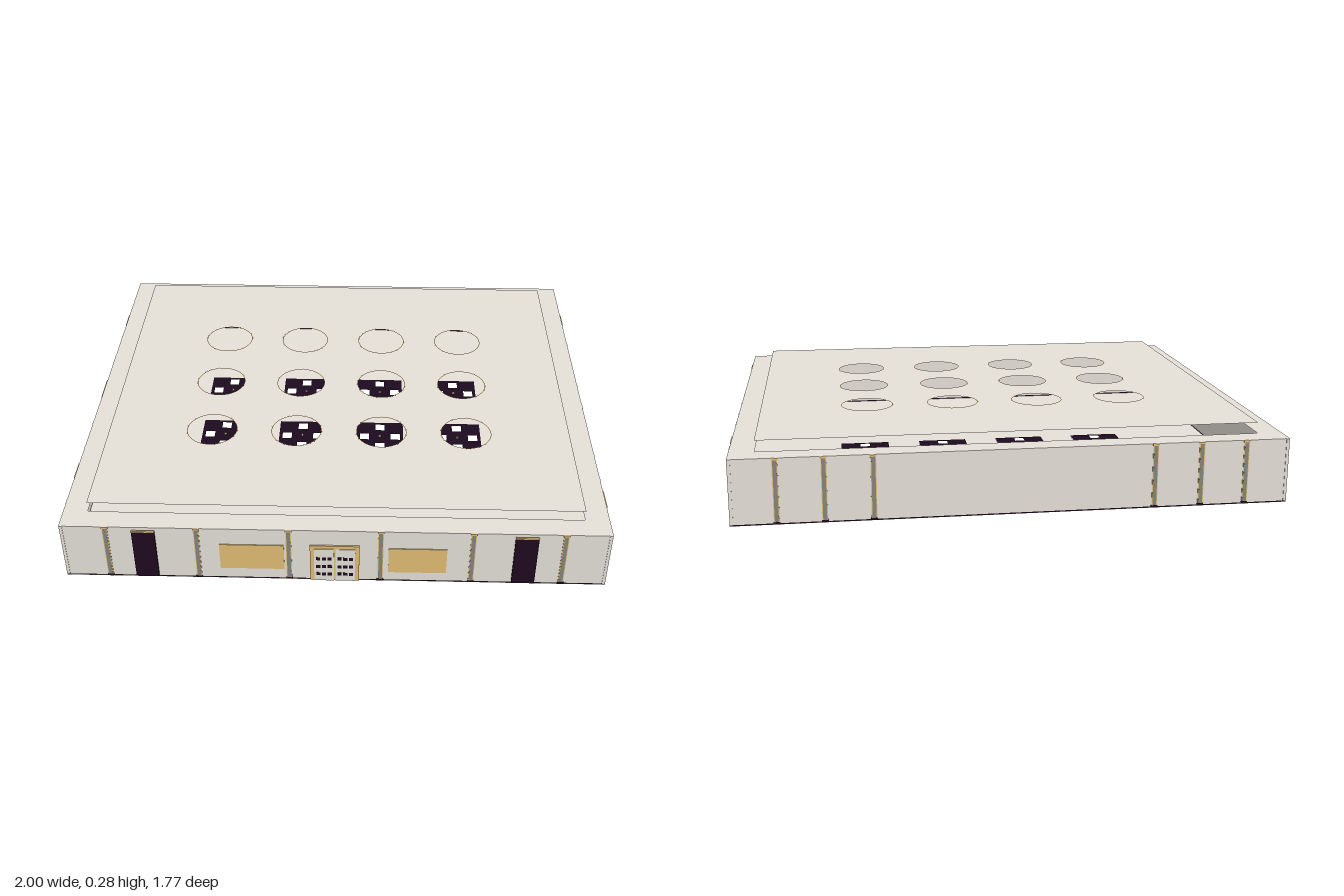
import * as THREE from 'three';

const mat = (name, color, side = THREE.FrontSide) => {
  const m = new THREE.MeshStandardMaterial({ color, side });
  m.name = name;
  return m;
};

export function createModel() {
  const model = new THREE.Group();
  model.name = 'exhibitionHall';
  const stone = mat('stone', 0xe5e1d8);
  const stoneSheet = mat('stoneSheet', 0xe5e1d8, THREE.DoubleSide);
  const dark = mat('darkPlum', 0x1d0a1f);
  const darkSheet = mat('darkPlumSheet', 0x1d0a1f, THREE.DoubleSide);
  const gold = mat('gold', 0xe2bc74);
  const goldSheet = mat('goldSheet', 0xe2bc74, THREE.DoubleSide);
  const grey = mat('columnGrey', 0x85847c);

  const add = (parent, name, geo, m, x = 0, y = 0, z = 0) => {
    const mesh = new THREE.Mesh(geo, m);
    mesh.name = name;
    mesh.position.set(x, y, z);
    parent.add(mesh);
    return mesh;
  };
  const box = (parent, name, w, h, d, m, x, y, z) =>
    add(parent, name, new THREE.BoxGeometry(w, h, d), m, x, y, z);

  // Flat sheets are drawn in x and -z, then laid down
  const outline = (Type, x0, x1, z0, z1) => {
    const s = new Type();
    s.moveTo(x0, -z1);
    s.lineTo(x1, -z1);
    s.lineTo(x1, -z0);
    s.lineTo(x0, -z0);
    s.closePath();
    return s;
  };
  const square = (Type, x, z, r) => outline(Type, x - r, x + r, z - r, z + r);
  const sheet = (parent, name, shape, m, y) =>
    add(parent, name, new THREE.ShapeGeometry(shape, 48).rotateX(-Math.PI / 2), m, 0, y, 0);

  const Z0 = -0.885, Z1 = 0.872, ZC = (Z0 + Z1) / 2, TOP = 0.24, PANEL = 0.28, W = 0.995;
  const bays = [];
  for (const x of [-0.5, -0.167, 0.167, 0.5])
    for (const z of [-0.335, -0.003, 0.33]) bays.push([x, z]);

  // Floor with square openings for the inlays
  const floor = outline(THREE.Shape, -W, W, Z0, Z1);
  bays.forEach(([x, z]) => floor.holes.push(square(THREE.Path, x, z, 0.1)));
  sheet(model, 'floor', floor, stoneSheet, 0.001);

  // Roof border, and the raised centre panel with round openings
  const border = outline(THREE.Shape, -W, W, Z0, Z1);
  border.holes.push(outline(THREE.Path, -0.905, 0.905, -0.8, 0.788));
  sheet(model, 'roofBorder', border, stoneSheet, TOP);
  const panel = outline(THREE.Shape, -0.905, 0.905, -0.8, 0.788);
  bays.forEach(([x, z]) => {
    const hole = new THREE.Path();
    hole.absarc(x, -z, 0.1, 0, Math.PI * 2, true);
    panel.holes.push(hole);
  });
  sheet(model, 'roofPanel', panel, stoneSheet, PANEL);

  // Inlays with four square openings, and a fine ring round each roof opening
  bays.forEach(([x, z]) => {
    const bay = new THREE.Group();
    bay.name = 'bay';
    bay.position.set(x, 0, z);
    model.add(bay);
    const rug = square(THREE.Shape, 0, 0, 0.1);
    for (const [a, b] of [[1, 0], [-1, 0], [0, 1], [0, -1]])
      rug.holes.push(square(THREE.Path, a * 0.066, b * 0.066, 0.02));
    sheet(bay, 'floorInlay', rug, darkSheet, 0.003);
    box(bay, 'inlayStud', 0.01, 0.004, 0.01, gold, 0, 0.006, 0);
    const ring = new THREE.RingGeometry(0.097, 0.1, 48).rotateX(-Math.PI / 2);
    add(bay, 'ceilingRing', ring, goldSheet, 0, PANEL, 0);
  });

  // Each wall is built facing +z, then turned; u runs to the viewer's right
  const wall = (name, length, angle, x, z) => {
    const g = new THREE.Group();
    g.name = name;
    g.position.set(x, 0, z);
    g.rotation.y = angle;
    model.add(g);
    box(g, 'wallPanel', length, TOP - 0.006, 0.01, stone, 0, TOP / 2 + 0.002, -0.007);
    box(g, 'skirting', length, 0.004, 0.01, dark, 0, 0.003, -0.007);
    return g;
  };
  const column = (g, u) => {
    box(g, 'column', 0.014, TOP - 0.012, 0.004, grey, u, TOP / 2, -0.001);
    for (const s of [-1, 1])
      box(g, 'columnTrim', 0.003, TOP - 0.012, 0.003, gold, u + s * 0.0085, TOP / 2, -0.001);
    box(g, 'columnBase', 0.024, 0.008, 0.005, dark, u, 0.006, -0.001);
    box(g, 'columnCap', 0.024, 0.007, 0.005, gold, u, TOP - 0.005, -0.001);
  };
  const opening = (g, u, w, h, out) => {
    box(g, 'darkDoor', w, h, 0.007, dark, u, 0.012 + h / 2, out);
    box(g, 'doorLintel', w, 0.005, 0.007, gold, u, 0.0145 + h, out);
  };
  const entrance = (g, u, w, h) => {
    box(g, 'entranceFrame', w, h, 0.006, gold, u, h / 2 + 0.002, 0.001);
    for (const s of [-1, 1])
      box(g, 'doorLeaf', w / 2 - 0.018, h - 0.014, 0.006, stone, u + s * (w / 4 - 0.006), (h - 0.014) / 2 + 0.002, 0.003);
  };

  // Front
  const front = wall('frontWall', 2 * W, 0, 0, Z1);
  [-0.83, -0.5, -0.167, 0.167, 0.5, 0.83].forEach(u => column(front, u));
  [-0.69, 0.69].forEach(u => opening(front, u, 0.084, 0.214, 0.008));
  box(front, 'wallBanner', 0.235, 0.115, 0.004, gold, -0.302, 0.108, -0.001);
  box(front, 'wallBanner', 0.212, 0.115, 0.004, gold, 0.302, 0.102, -0.001);
  entrance(front, 0, 0.18, 0.168);
  for (const y of [0.035, 0.072, 0.11])
    for (const u of [-0.06, -0.039, -0.018, 0.018, 0.039, 0.06])
      box(front, 'doorGrille', 0.015, 0.014, 0.002, dark, u, y, 0.006);

  // Left side, facing +x
  const sideA = wall('leftWall', Z1 - Z0, Math.PI / 2, W, ZC);
  const zA = z => -(z - ZC);
  [0.56, 0.4, 0.08, -0.08, -0.24, -0.4, -0.73].forEach(z => column(sideA, zA(z)));
  [0.66, -0.61].forEach(z => opening(sideA, zA(z), 0.086, 0.216, 0.0015));
  // Plain double door with thin gold jambs and dark kick plates
  for (const z of [0.135, 0.335])
    box(sideA, 'doorJamb', 0.004, 0.15, 0.002, gold, zA(z), 0.077, -0.001);
  box(sideA, 'doorHead', 0.204, 0.004, 0.002, gold, zA(0.235), 0.152, -0.001);
  box(sideA, 'doorSeam', 0.003, 0.15, 0.002, grey, zA(0.228), 0.077, -0.001);
  for (const z of [0.285, 0.18])
    box(sideA, 'kickPlate', 0.092, 0.016, 0.005, dark, zA(z), 0.01, 0);

  // Right side, facing -x
  const sideB = wall('rightWall', Z1 - Z0, -Math.PI / 2, -W, ZC);
  const zB = z => z - ZC;
  [-0.73, -0.4, -0.24, 0.24, 0.4, 0.73].forEach(z => column(sideB, zB(z)));
  [-0.555, 0.545].forEach(z => opening(sideB, zB(z), 0.086, 0.216, 0.0015));
  opening(sideB, zB(-0.005), 0.125, 0.216, 0.0015);

  // Back
  const back = wall('backWall', 2 * W, Math.PI, 0, Z0);
  for (const s of [-1, 1]) [0.5, 0.67, 0.835].forEach(u => column(back, s * u));

  return model;
}
